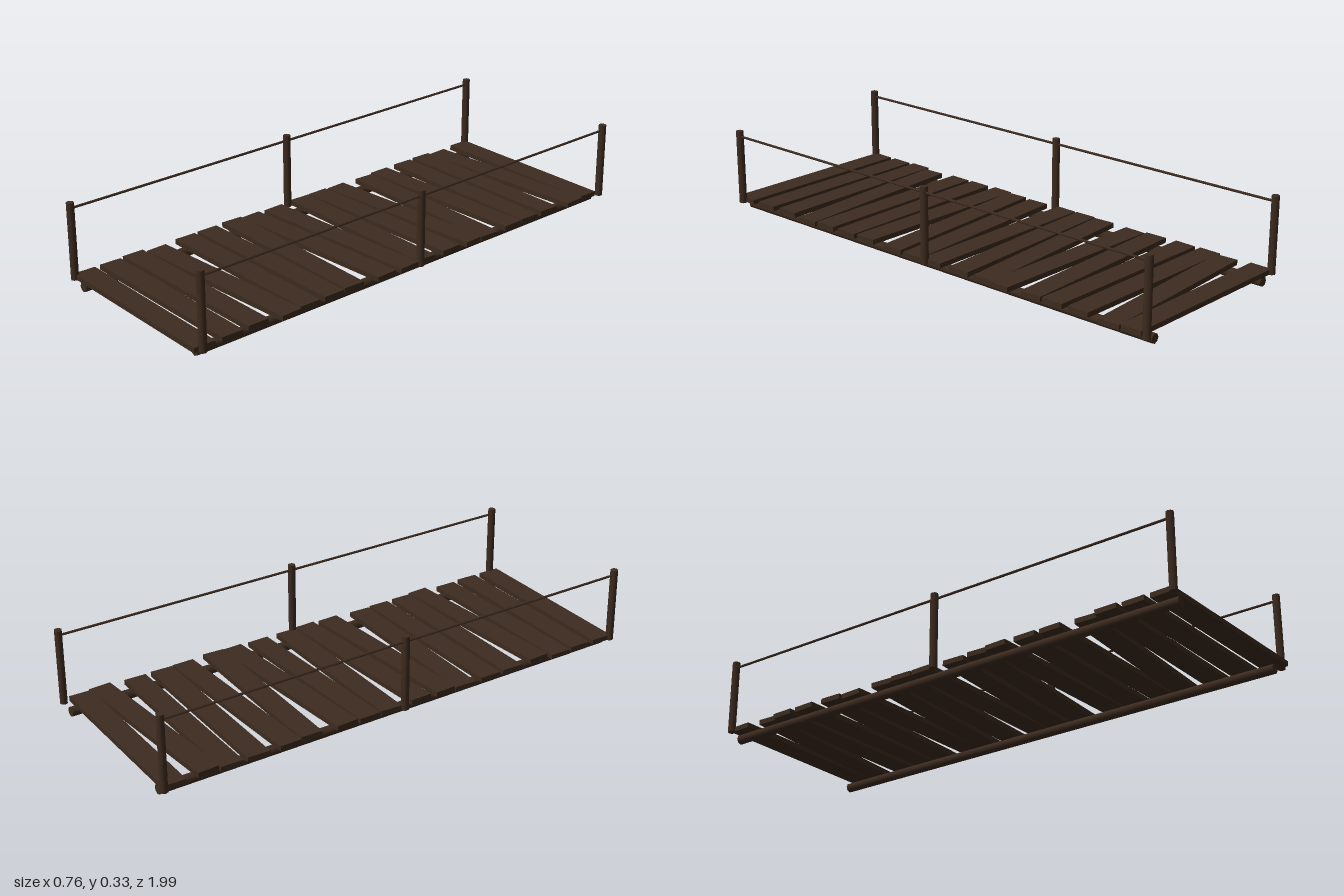
import * as THREE from 'three';

export function createModel() {
  const model = new THREE.Group();
  model.name = 'footbridge';
  const wood = new THREE.MeshStandardMaterial({ name: 'dark wood', color: 0x3d2b1f });

  const add = (geometry, name, x, y, z, parent = model) => {
    const mesh = new THREE.Mesh(geometry, wood);
    mesh.name = name;
    mesh.position.set(x, y, z);
    parent.add(mesh);
    return mesh;
  };

  // Deck planks, unevenly laid: [z at the right end, z at the left end, sideways shift]
  const planks = [
    [-0.943, -0.92, 0], [-0.807, -0.837, 0.01], [-0.726, -0.7, -0.003],
    [-0.62, -0.59, -0.002], [-0.49, -0.498, 0], [-0.4, -0.362, 0.009],
    [-0.252, -0.286, 0.004], [-0.16, -0.17, 0], [-0.068, -0.042, 0],
    [0.069, 0.046, 0.007], [0.178, 0.152, 0.003], [0.26, 0.298, -0.007],
    [0.379, 0.393, -0.003], [0.482, 0.504, -0.002], [0.62, 0.593, 0.009],
    [0.71, 0.722, -0.01], [0.812, 0.836, -0.004], [0.92, 0.95, -0.005],
  ];
  const deck = new THREE.Group();
  deck.name = 'deck';
  model.add(deck);
  const length = 0.728;
  const plankGeometry = new THREE.BoxGeometry(length, 0.019, 0.086);
  for (const [zRight, zLeft, shift] of planks) {
    const plank = add(plankGeometry, 'plank', shift, 0.0445, (zRight + zLeft) / 2, deck);
    plank.rotation.y = -Math.atan2(zLeft - zRight, length);
  }

  const beamGeometry = new THREE.CylinderGeometry(0.0185, 0.0185, 1.945, 8).rotateX(Math.PI / 2);
  const postGeometry = new THREE.CylinderGeometry(0.0145, 0.0145, 0.291, 8);
  const railGeometry = new THREE.CylinderGeometry(0.005, 0.005, 1.95, 6).rotateX(Math.PI / 2);

  for (const side of [-1, 1]) {
    // Log beams under the deck
    add(beamGeometry, 'beam', side * 0.317, 0.0185, -0.011);
    // Handrail with its three posts
    const railing = new THREE.Group();
    railing.name = side > 0 ? 'leftRailing' : 'rightRailing';
    model.add(railing);
    for (const z of [-0.985, -0.011, 0.963]) add(postGeometry, 'post', side * 0.365, 0.1795, z, railing);
    add(railGeometry, 'handrail', side * 0.365, 0.303, -0.011, railing);
  }
  return model;
}
